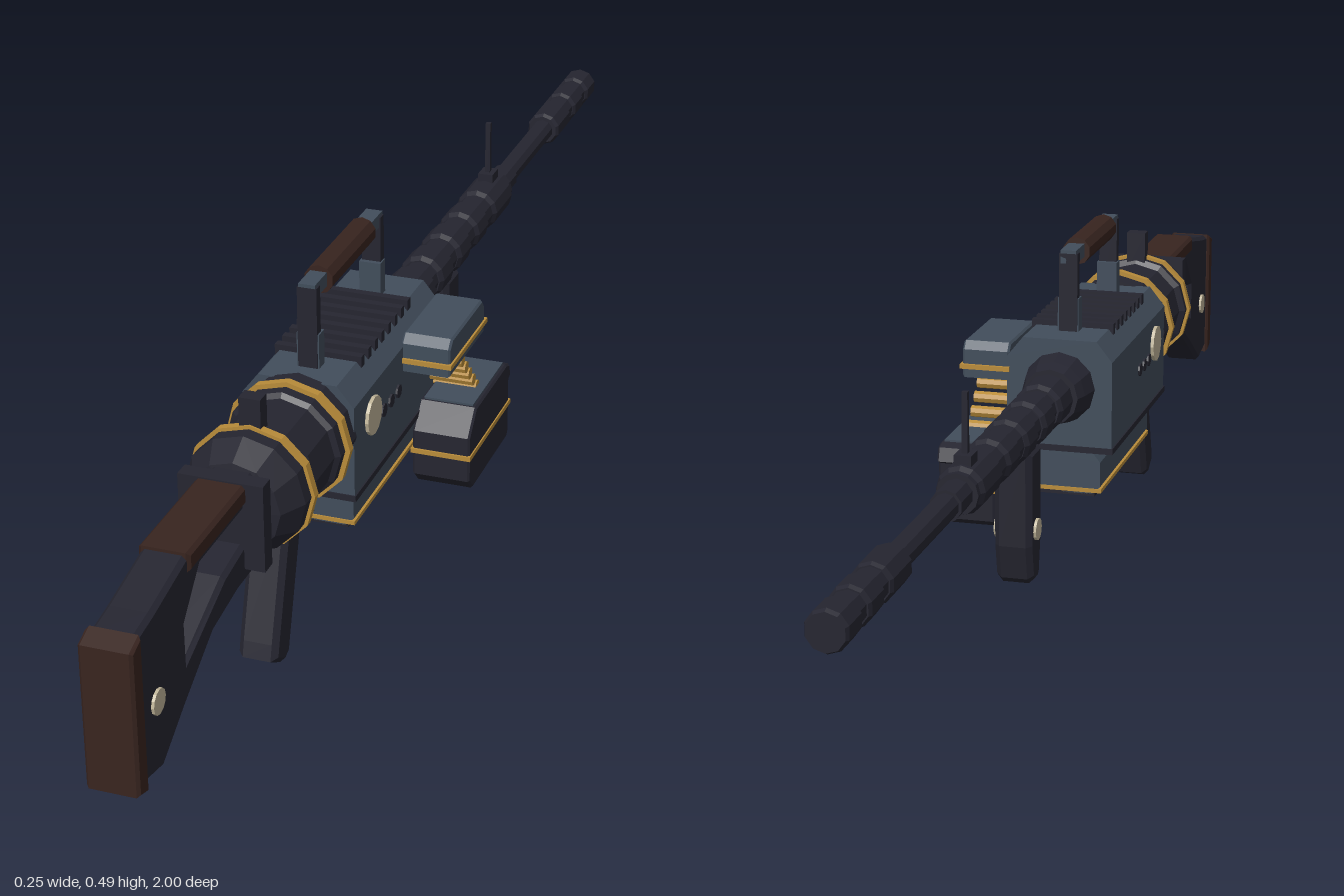
import * as THREE from 'three';

const CX = -0.038; // centre line of the body
const AY = 0.287;  // height of the barrel axis

export function createModel() {
  const root = new THREE.Group();
  const mat = (name, color) => {
    const m = new THREE.MeshStandardMaterial({ color });
    m.name = name;
    return m;
  };
  const dark = mat('dark gunmetal', 0x252530);
  const slate = mat('slate steel', 0x414d5b);
  const brown = mat('dark brown wood', 0x38241f);
  const gold = mat('gold', 0xb98c3a);
  const cream = mat('pale cream', 0xbfb498);

  const add = (name, geo, material, parent = root) => {
    const g = geo.index ? geo.toNonIndexed() : geo;
    g.computeVertexNormals(); // faceted look
    const mesh = new THREE.Mesh(g, material);
    mesh.name = name;
    parent.add(mesh);
    return mesh;
  };
  const group = (name) => {
    const g = new THREE.Group();
    g.name = name;
    root.add(g);
    return g;
  };
  const box = (x0, x1, y0, y1, z0, z1) =>
    new THREE.BoxGeometry(x1 - x0, y1 - y0, z1 - z0)
      .translate((x0 + x1) / 2, (y0 + y1) / 2, (z0 + z1) / 2);
  const toShape = (pts) => new THREE.Shape(pts.map(([a, b]) => new THREE.Vector2(a, b)));
  // side outline [z, y] given a width along x
  const side = (pts, width, x = CX, hole = null, bevel = 0.008) => {
    const s = toShape(pts);
    if (hole) s.holes.push(new THREE.Path(hole.map(([a, b]) => new THREE.Vector2(a, b))));
    return new THREE.ExtrudeGeometry(s, {
      depth: width - 2 * bevel, bevelEnabled: bevel > 0, bevelSize: bevel,
      bevelOffset: -bevel, bevelThickness: bevel, bevelSegments: 1,
    }).translate(0, 0, -(width - 2 * bevel) / 2).rotateY(-Math.PI / 2).translate(x, 0, 0);
  };
  // cross-section [x, y] run along z
  const along = (pts, z0, z1) =>
    new THREE.ExtrudeGeometry(toShape(pts), { depth: z1 - z0, bevelEnabled: false }).translate(0, 0, z0);
  // turned profile [radius, z] around the barrel axis
  const turned = (pts, sides = 12) =>
    new THREE.LatheGeometry(pts.map(([r, z]) => new THREE.Vector2(r, z)), sides)
      .rotateX(Math.PI / 2).translate(CX, AY, 0);
  const tube = (r, z0, z1, sides = 12) => turned([[0, z0], [r, z0], [r, z1], [0, z1]], sides);
  const rodX = (r, x0, x1, y, z, sides = 12) =>
    new THREE.CylinderGeometry(r, r, x1 - x0, sides).rotateZ(Math.PI / 2).translate((x0 + x1) / 2, y, z);

  // Shoulder stock with its opening
  const stock = group('stock');
  add('stockFrame', side([
    [0.98, 0.315], [0.93, 0.322], [0.83, 0.342], [0.6, 0.342], [0.6, 0.205], [0.68, 0.205],
    [0.76, 0.193], [0.85, 0.142], [0.92, 0.098], [0.98, 0.11],
  ], 0.06, CX, [[0.84, 0.255], [0.79, 0.308], [0.65, 0.308], [0.645, 0.262], [0.72, 0.25], [0.84, 0.2]], 0.006), dark, stock);
  add('buttPlate', side([[0.972, 0.1], [1, 0.108], [1, 0.308], [0.972, 0.318]], 0.07, CX, null, 0.004), brown, stock);
  add('cheekRest', side([[0.83, 0.318], [0.64, 0.318], [0.64, 0.346], [0.83, 0.346]], 0.068, CX, null, 0.005), brown, stock);
  add('stockDisc', rodX(0.017, CX - 0.034, CX + 0.034, 0.2, 0.93), cream, stock);
  add('stockCollar', box(CX - 0.058, CX + 0.058, 0.225, 0.348, 0.632, 0.656), dark, stock);

  // Round rear housing
  const rear = group('rearHousing');
  add('rearDrum', turned([
    [0, 0.385], [0.082, 0.385], [0.082, 0.445], [0.075, 0.45], [0.075, 0.53], [0.084, 0.535],
    [0.084, 0.578], [0.064, 0.615], [0.045, 0.618], [0.045, 0.635], [0, 0.635],
  ]), dark, rear);
  for (const z of [0.423, 0.552]) add('goldRing', tube(0.089, z - 0.006, z + 0.006), gold, rear);
  add('rearSight', box(CX - 0.015, CX + 0.015, 0.35, 0.413, 0.533, 0.555), dark, rear);

  // Receiver with chamfered top
  const receiver = group('receiver');
  add('receiverBody', along([
    [-0.118, 0.192], [0.042, 0.192], [0.042, 0.33], [0.018, 0.36], [-0.094, 0.36], [-0.118, 0.33],
  ], 0.035, 0.39), slate, receiver);
  for (let i = 0; i < 8; i++) {
    const z = 0.118 + i * 0.027;
    add('topRib', box(CX - 0.063, CX + 0.063, 0.352, 0.368, z - 0.006, z + 0.006), dark, receiver);
  }
  add('receiverDisc', rodX(0.028, -0.123, 0.047, AY, 0.32), cream, receiver);
  for (const z of [0.215, 0.245, 0.275]) add('sidePin', rodX(0.01, -0.121, 0.045, 0.272, z, 8), dark, receiver);
  add('seam', box(-0.12, 0.044, 0.189, 0.198, 0.033, 0.392), dark, receiver);

  // Lower housing with gold trim
  add('lowerHousing', along([
    [CX - 0.05, 0.125], [CX + 0.05, 0.125], [CX + 0.063, 0.137], [CX + 0.063, 0.175],
    [CX + 0.05, 0.192], [CX - 0.05, 0.192], [CX - 0.063, 0.175], [CX - 0.063, 0.137],
  ], 0.035, 0.35), slate, receiver);
  add('housingTrim', box(CX - 0.065, CX + 0.065, 0.128, 0.134, 0.033, 0.352), gold, receiver);
  add('housingFloor', box(CX - 0.055, CX + 0.055, 0.122, 0.128, 0.035, 0.35), dark, receiver);

  // Carry handle
  const handle = group('carryHandle');
  for (const [z, lean] of [[0.343, -0.004], [0.092, 0.004]]) {
    add('handlePost', box(CX - 0.014, CX + 0.014, 0.355, 0.478, z - 0.007, z + 0.007), dark, handle);
    add('handleFoot', box(CX - 0.016, CX + 0.016, 0.355, 0.41, z - 0.01 + lean, z + 0.01 + lean), slate, handle);
  }
  add('handleBar', box(CX - 0.012, CX + 0.012, 0.463, 0.483, 0.085, 0.35), slate, handle);
  add('handleGrip', new THREE.CylinderGeometry(0.021, 0.021, 0.17, 10)
    .rotateX(Math.PI / 2).translate(CX, 0.471, 0.22), brown, handle);

  // Pistol grip and trigger
  const grip = group('pistolGrip');
  add('gripBody', side([[0.5, 0.215], [0.445, 0.215], [0.455, 0.175], [0.505, 0.01], [0.525, 0.002], [0.558, 0.022], [0.552, 0.045]], 0.056), dark, grip);
  const guard = new THREE.CatmullRomCurve3([
    [0.2, 0.44], [0.162, 0.43], [0.143, 0.4], [0.14, 0.35],
  ].map(([y, z]) => new THREE.Vector3(CX, y, z)));
  add('triggerGuard', new THREE.TubeGeometry(guard, 10, 0.005, 6), dark, grip);
  add('trigger', box(CX - 0.005, CX + 0.005, 0.155, 0.2, 0.392, 0.4), dark, grip);

  // Feed cover, cartridges and ammunition box
  const feed = group('feed');
  add('feedCover', side([[0.035, 0.292], [0.035, 0.335], [0.045, 0.347], [0.18, 0.347], [0.192, 0.335], [0.192, 0.292]], 0.072, 0.075, null, 0.003), slate, feed);
  add('coverTrim', box(0.038, 0.114, 0.306, 0.313, 0.03, 0.196), gold, feed);
  for (let i = 0; i < 5; i++) {
    const y = 0.284 - i * 0.018;
    const z = 0.12 - i * 0.017;
    add('cartridge', rodX(0.009, 0.035, 0.107, y, z, 8), gold, feed);
  }
  add('ammoBox', side([
    [-0.042, 0.095], [-0.042, 0.18], [-0.052, 0.185], [-0.045, 0.205], [-0.03, 0.21],
    [0.115, 0.21], [0.147, 0.175], [0.147, 0.105], [0.13, 0.087], [-0.034, 0.087],
  ], 0.086, 0.083, null, 0.003), dark, feed);
  add('boxLid', box(0.046, 0.12, 0.208, 0.213, -0.03, 0.112), slate, feed);
  add('boxTrim', box(0.038, 0.128, 0.14, 0.147, -0.045, 0.15), gold, feed);

  // Barrel jacket, stepped sleeves and muzzle, from rear to tip
  const barrel = group('barrel');
  add('barrelCollar', turned([[0, -0.02], [0.042, -0.02], [0.048, 0.0], [0.055, 0.04], [0, 0.04]]), dark, barrel);
  add('jacket', tube(0.029, -0.49, 0), dark, barrel);
  const sleeves = [[-0.02, -0.09, 0.037], [-0.115, -0.175, 0.036], [-0.205, -0.265, 0.035],
    [-0.295, -0.355, 0.034], [-0.385, -0.48, 0.034]];
  for (const [a, b, r] of sleeves) {
    add('jacketSleeve', turned([[0, b], [r - 0.005, b], [r, b + 0.008], [r, a - 0.008], [r - 0.005, a], [0, a]]), dark, barrel);
  }
  add('innerBarrel', tube(0.018, -0.98, -0.48, 10), dark, barrel);
  add('barrelNeck', tube(0.022, -0.54, -0.48, 10), dark, barrel);
  add('muzzleSleeve', tube(0.023, -0.98, -0.76, 10), dark, barrel);
  for (const [a, b] of [[-0.76, -0.84], [-0.865, -0.92], [-0.945, -1]]) {
    add('muzzleRing', turned([[0, b], [0.025, b], [0.028, b + 0.006], [0.028, a - 0.006], [0.024, a], [0, a]], 10), dark, barrel);
  }
  add('frontSight', box(CX - 0.004, CX + 0.004, AY, 0.415, -0.454, -0.446), dark, barrel);
  add('sightBase', box(CX - 0.012, CX + 0.012, AY, 0.332, -0.465, -0.435), dark, barrel);

  // Forward grip below the barrel
  const fore = group('foreGrip');
  add('foreGripBody', side([
    [-0.165, 0.265], [-0.225, 0.265], [-0.225, 0.125], [-0.215, 0.075], [-0.205, 0.066], [-0.182, 0.066], [-0.174, 0.075], [-0.165, 0.125],
  ], 0.054), dark, fore);
  add('foreGripDisc', rodX(0.016, CX - 0.031, CX + 0.031, 0.145, -0.196), cream, fore);

  return root;
}
